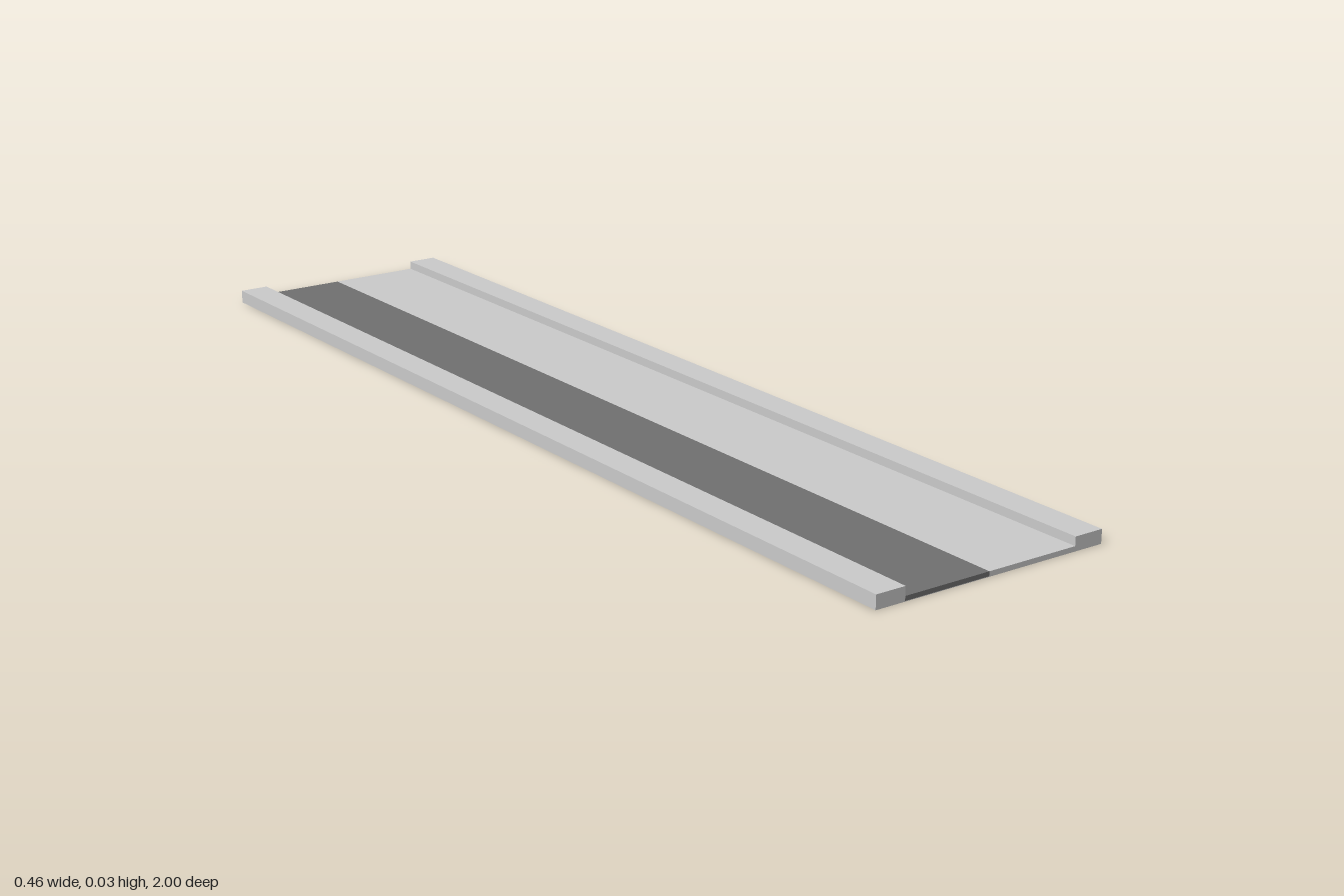
import * as THREE from 'three';

const LENGTH = 2, HALF_WIDTH = 0.231, RAIL_INNER = 0.174;
const RAIL_TOP = 0.025, DECK_TOP = 0.009, SKIN = 0.001, SEAM = -0.006;

const grey = new THREE.MeshStandardMaterial({ color: 0xcccccc });
const dark = new THREE.MeshStandardMaterial({ color: 0x707070 });

// Box given by its x and y limits, running the full length
function strip(name, x0, x1, y0, y1, material) {
  const mesh = new THREE.Mesh(new THREE.BoxGeometry(x1 - x0, y1 - y0, LENGTH), material);
  mesh.position.set((x0 + x1) / 2, (y0 + y1) / 2, 0);
  mesh.name = name;
  return mesh;
}

export function createModel() {
  const model = new THREE.Group();
  model.name = 'channelStrip';

  // Raised rails along both long edges
  model.add(strip('leftRail', RAIL_INNER, HALF_WIDTH, 0, RAIL_TOP, grey));
  model.add(strip('rightRail', -HALF_WIDTH, -RAIL_INNER, 0, RAIL_TOP, grey));

  // Light half of the deck
  model.add(strip('lightLane', SEAM, RAIL_INNER, 0, DECK_TOP, grey));

  // Dark half of the deck over a thin grey underside
  model.add(strip('darkLane', -RAIL_INNER, SEAM, SKIN, DECK_TOP, dark));
  model.add(strip('underside', -RAIL_INNER, SEAM, 0, SKIN, grey));

  return model;
}
